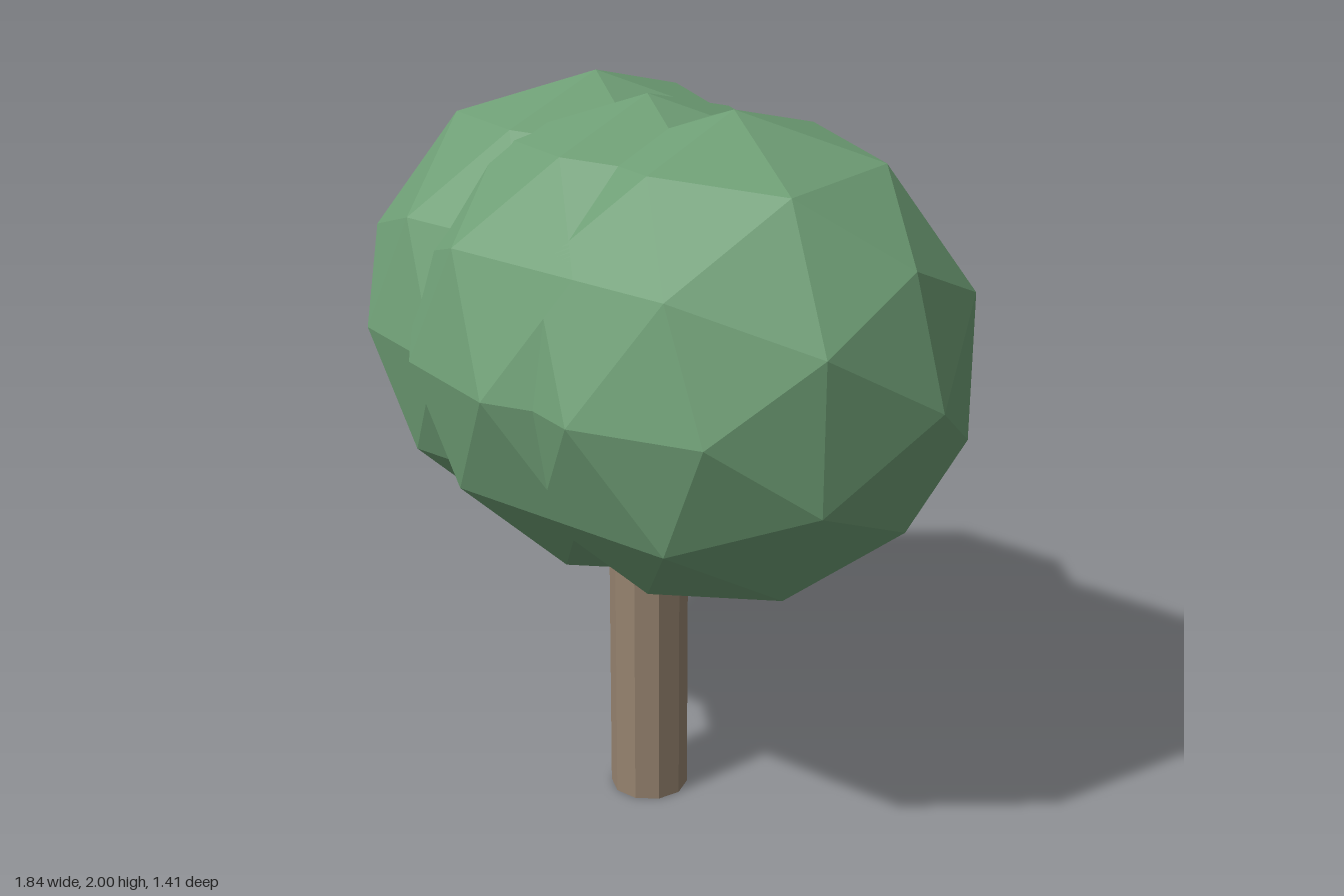
import * as THREE from 'three';

export function createModel() {
  const group = new THREE.Group();
  const leafGreen = new THREE.MeshStandardMaterial({ color: 0x6f9f76, flatShading: true });
  leafGreen.name = 'leafGreen';
  const barkBrown = new THREE.MeshStandardMaterial({ color: 0x96836f, flatShading: true });
  barkBrown.name = 'barkBrown';

  // Three equal faceted balls overlap to form the crown
  const ball = new THREE.IcosahedronGeometry(0.644, 1).rotateY(Math.PI / 2);
  const balls = [
    ['crownRight', -0.275, -0.06],
    ['crownMiddle', 0, 0.06],
    ['crownLeft', 0.275, 0.06],
  ];
  for (const [name, x, z] of balls) {
    const mesh = new THREE.Mesh(ball, leafGreen);
    mesh.name = name;
    mesh.position.set(x, 1.356, z);
    group.add(mesh);
  }

  // Ten-sided trunk reaching up into the crown
  const trunkHeight = 1.0;
  const trunk = new THREE.Mesh(
    new THREE.CylinderGeometry(0.108, 0.108, trunkHeight, 10).rotateY(Math.PI / 2),
    barkBrown
  );
  trunk.name = 'trunk';
  trunk.position.set(0, trunkHeight / 2, 0.06);
  group.add(trunk);

  return group;
}
